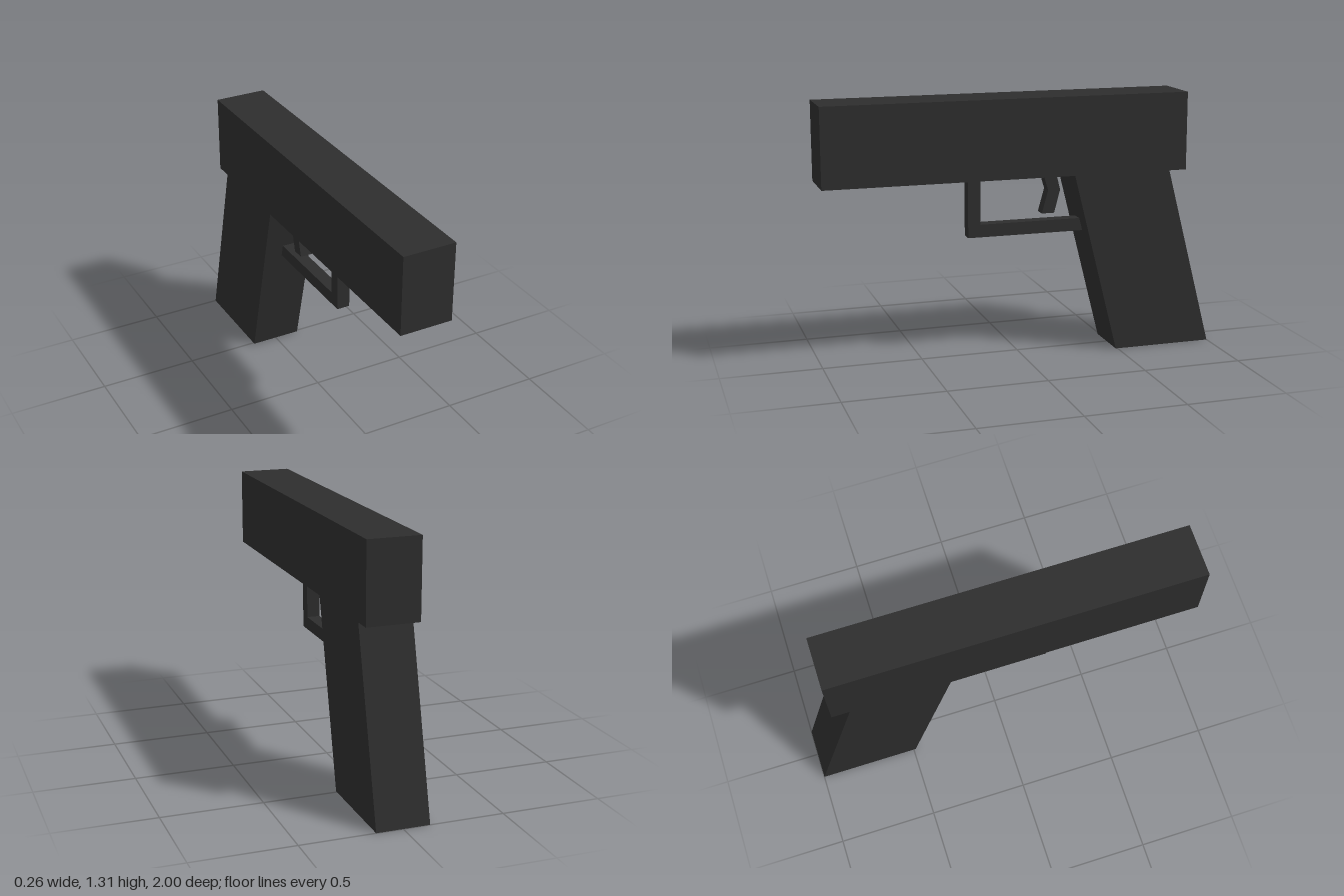
import * as THREE from 'three';

export function createModel() {
  const model = new THREE.Group();
  const black = new THREE.MeshStandardMaterial({ color: 0x2d2d2d });
  black.name = 'matte black';

  // Extrudes a side profile of [z, y] points across x, centred
  function addPlate(name, points, width) {
    const shape = new THREE.Shape(points.map(([z, y]) => new THREE.Vector2(z, y)));
    const geometry = new THREE.ExtrudeGeometry(shape, { depth: width, bevelEnabled: false });
    geometry.translate(0, 0, -width / 2);
    geometry.rotateY(-Math.PI / 2);
    const mesh = new THREE.Mesh(geometry, black);
    mesh.name = name;
    model.add(mesh);
  }

  // Long upper block
  addPlate('slide', [[-0.855, 0.915], [1, 0.915], [1, 1.31], [-0.855, 1.31]], 0.264);

  // Raked handle
  addPlate('grip', [[-1, 0], [-0.49, 0], [-0.26, 0.915], [-0.765, 0.915]], 0.264);

  // L-shaped guard running back into the grip
  addPlate('triggerGuard', [
    [-0.36, 0.613], [0.263, 0.613], [0.263, 0.915],
    [0.2, 0.915], [0.2, 0.677], [-0.36, 0.677],
  ], 0.066);

  // Bent trigger
  addPlate('trigger', [
    [-0.185, 0.713], [-0.12, 0.713], [-0.153, 0.83],
    [-0.127, 0.915], [-0.195, 0.915], [-0.216, 0.83],
  ], 0.064);

  return model;
}
